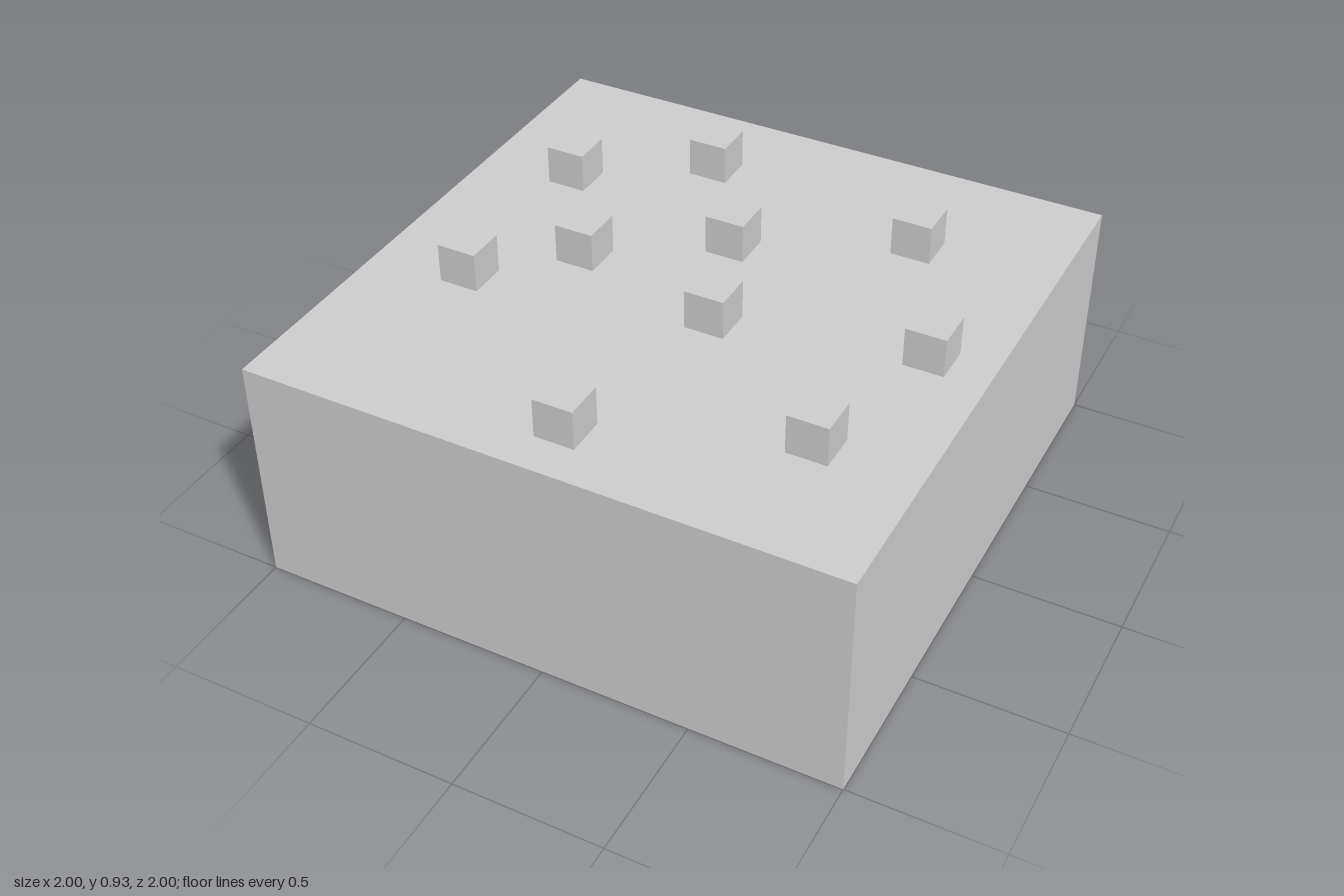
import * as THREE from 'three';

export function createModel() {
  const model = new THREE.Group();
  const grey = new THREE.MeshStandardMaterial({ color: 0xcccccc });
  grey.name = 'plain grey';

  const u = 1 / 15; // half the edge of a stud

  function addBox(name, w, h, d, x, y, z) {
    const mesh = new THREE.Mesh(new THREE.BoxGeometry(w, h, d), grey);
    mesh.name = name;
    mesh.position.set(x, y + h / 2, z);
    model.add(mesh);
  }

  // Main block
  addBox('baseBlock', 2, 0.8, 2, 0, 0, 0);

  // Cube studs scattered over the top, as [x, z] in half-stud steps
  const studs = [
    [-4, -10], [8, -8], [-10, -6], [0, -4], [-6, 0],
    [12, 0], [2, 2], [-10, 4], [10, 8], [0, 12],
  ];
  studs.forEach(([x, z], i) => {
    addBox(`stud${i + 1}`, 2 * u, 2 * u, 2 * u, x * u, 0.8, z * u);
  });

  return model;
}
